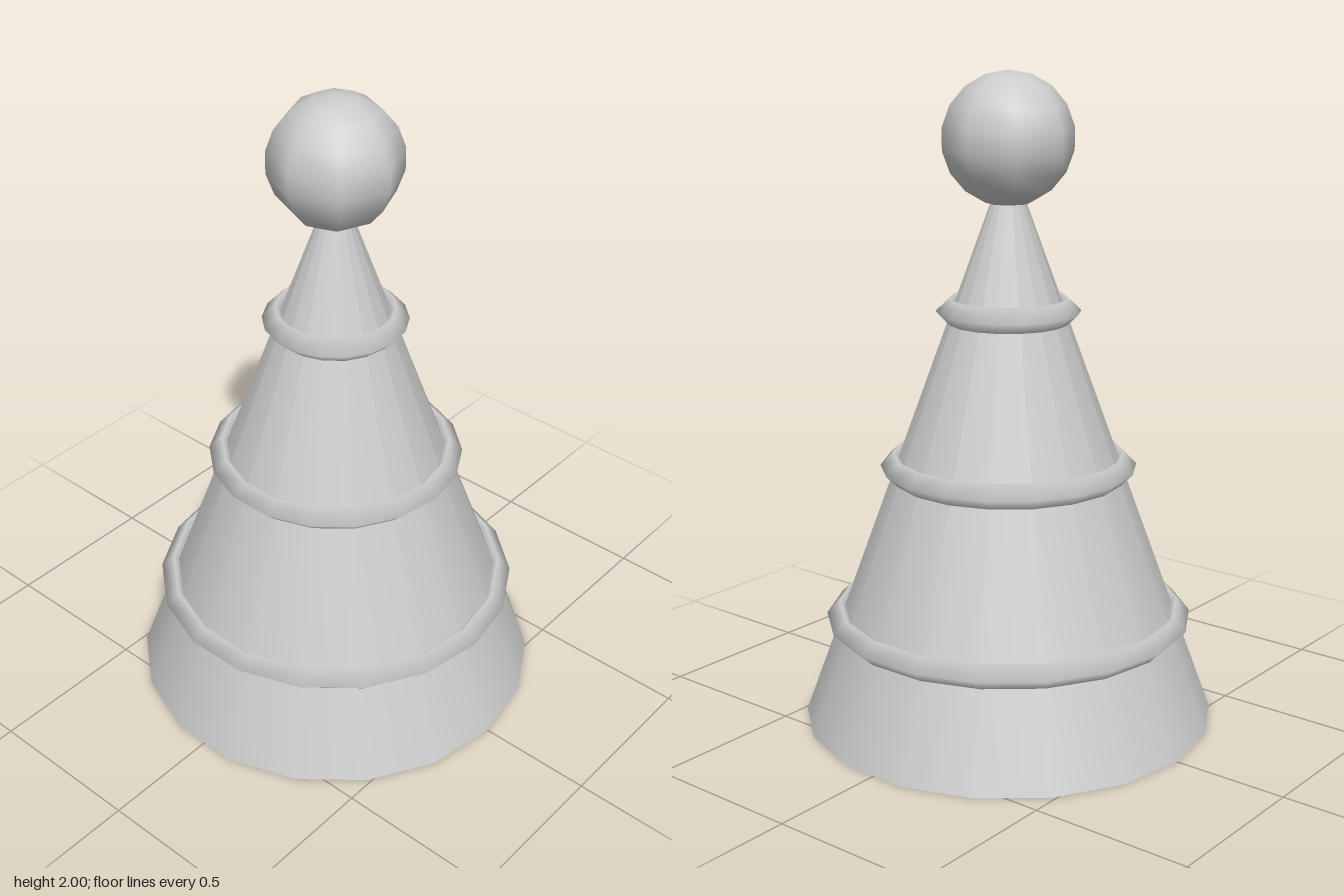
import * as THREE from 'three';

const SIDES = 18;
const CONE_RADIUS = 0.64;
const CONE_HEIGHT = 1.76;

export function createModel() {
  const model = new THREE.Group();
  model.name = 'ringedConeTree';

  const grey = new THREE.MeshStandardMaterial({ color: 0xcccccc });
  grey.name = 'light grey';

  const add = (name, geometry, y) => {
    const mesh = new THREE.Mesh(geometry, grey);
    mesh.name = name;
    mesh.position.y = y;
    model.add(mesh);
  };

  // Tapered body with a closed base, turned so a corner lies on the x axis
  const cone = new THREE.ConeGeometry(CONE_RADIUS, CONE_HEIGHT, SIDES);
  cone.rotateY(Math.PI / 2);
  add('coneBody', cone, CONE_HEIGHT / 2);

  // Garland rings with a diamond section, hugging the slope
  const rings = { lowerRing: 0.323, middleRing: 0.805, upperRing: 1.286 };
  for (const [name, y] of Object.entries(rings)) {
    const radius = CONE_RADIUS * (1 - y / CONE_HEIGHT) + 0.006;
    const ring = new THREE.TorusGeometry(radius, 0.041, 4, SIDES);
    ring.rotateX(Math.PI / 2);
    add(name, ring, y);
  }

  // Ball on the tip
  add('topBall', new THREE.SphereGeometry(0.2, 8, 9), 1.8);

  return model;
}
